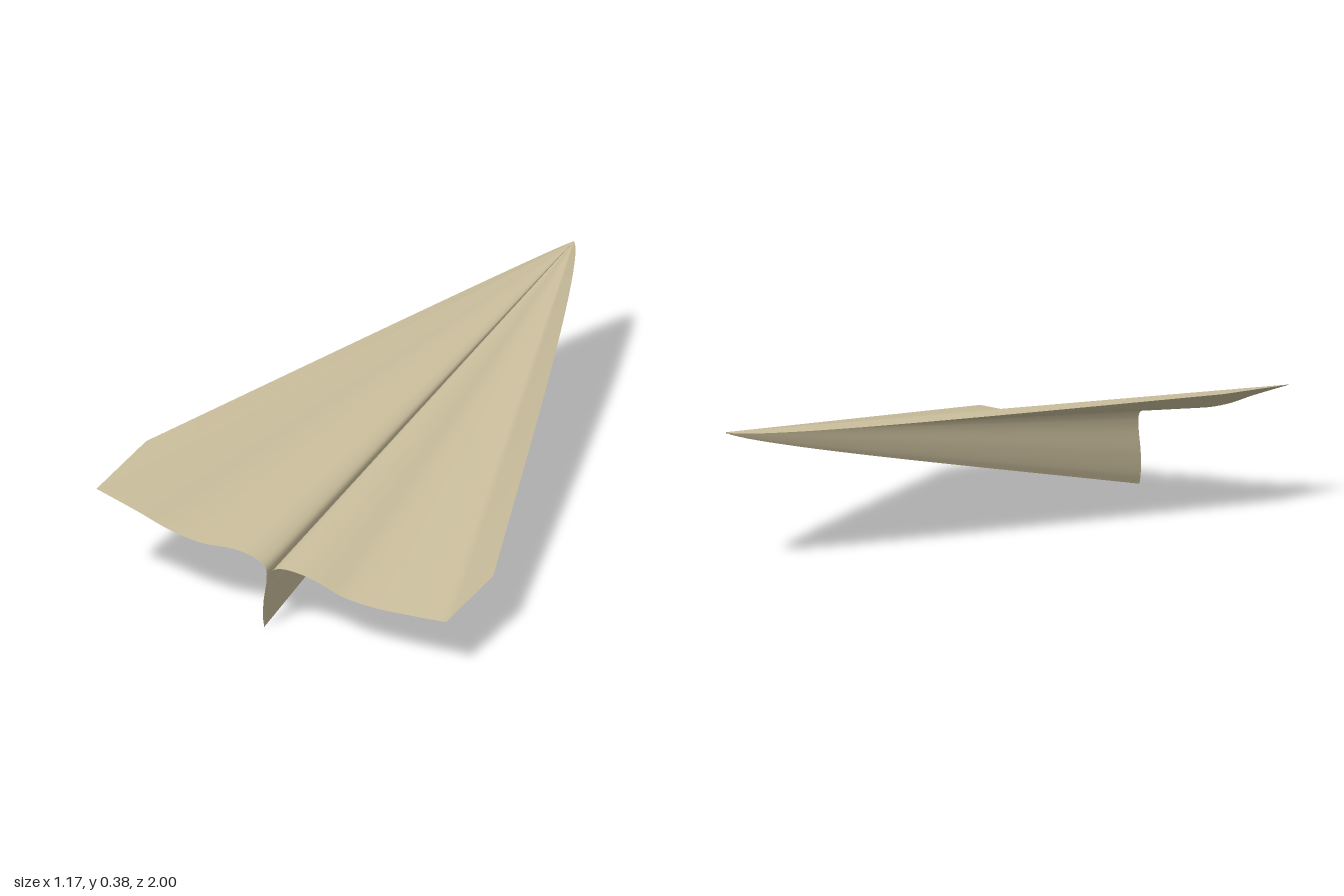
import * as THREE from 'three';

const NOSE = new THREE.Vector3(0.5, 0.385, -1);
const KEEL = [-0.072, 0, 0.81];
const KEEL_BOW = new THREE.Vector3(0, -0.016, 0);
const v = (p) => new THREE.Vector3(...p);

// Trailing edge of a half sheet: keel bottom, up the keel wall, over the fold, out to the tip,
// then straight forward along the clipped tip to the corner. Each entry is an end point plus
// the amount its ray from the nose bows.
function rearEdge(section, corner, cornerBow) {
  const curve = new THREE.CatmullRomCurve3(section.map(v), false, 'centripetal');
  const n = 64, ends = [];
  for (let i = 0; i <= n; i++) {
    const p = curve.getPoint(i / n);
    const low = Math.max(0, 1 - p.y / 0.17);
    ends.push({ p, bow: KEEL_BOW.clone().multiplyScalar(low) });
  }
  const tip = ends[n].p;
  for (let i = 1; i <= 6; i++) {
    ends.push({ p: tip.clone().lerp(v(corner), i / 6), bow: v(cornerBow).multiplyScalar(i / 6) });
  }
  return ends;
}

// Sheet of rays fanning from the nose to the rear edge
function foldedSheet(ends, rows = 28) {
  const pos = [], idx = [], cols = ends.length;
  for (let r = 0; r <= rows; r++) {
    const t = (r / rows) ** 1.3;
    const bulge = Math.sin(Math.PI * Math.sqrt(t));
    for (const { p, bow } of ends) {
      pos.push(...NOSE.clone().lerp(p, t).addScaledVector(bow, bulge).toArray());
    }
  }
  for (let r = 0; r < rows; r++) {
    for (let c = 0; c < cols - 1; c++) {
      const a = r * cols + c, b = a + cols;
      if (r > 0) idx.push(a, b, a + 1);
      idx.push(a + 1, b, b + 1);
    }
  }
  const geo = new THREE.BufferGeometry();
  geo.setAttribute('position', new THREE.Float32BufferAttribute(pos, 3));
  geo.setIndex(idx);
  geo.computeVertexNormals();
  return geo;
}

export function createModel() {
  const group = new THREE.Group();
  group.name = 'paperPlane';
  const paper = new THREE.MeshStandardMaterial({ color: 0xc9bd9b, side: THREE.DoubleSide });

  // Wing and keel wall on the -x side, curling up to the tip
  const rightEnds = rearEdge([
    KEEL, [-0.075, 0.03, 0.812], [-0.072, 0.09, 0.82], [-0.061, 0.17, 0.83], [-0.065, 0.205, 0.829],
    [-0.1, 0.23, 0.82], [-0.16, 0.243, 0.804], [-0.27, 0.24, 0.775], [-0.37, 0.261, 0.748],
    [-0.46, 0.295, 0.724], [-0.59, 0.34, 0.69],
  ], [-0.5, 0.35, 0.39], [-0.022, -0.012, -0.01]);

  // Wing and keel wall on the +x side, sagging to the tip
  const leftEnds = rearEdge([
    KEEL, [-0.066, 0.05, 0.816], [-0.058, 0.12, 0.826], [-0.053, 0.17, 0.833], [-0.043, 0.2, 0.837],
    [-0.018, 0.213, 0.845], [0.04, 0.212, 0.862], [0.1, 0.198, 0.88], [0.18, 0.17, 0.904],
    [0.28, 0.16, 0.934], [0.4, 0.164, 0.97], [0.5, 0.17, 1],
  ], [0.585, 0.18, 0.71], [0.022, -0.012, 0]);

  // Columns run towards +x on both halves so the upper face is the front
  const halves = { rightWingAndKeel: rightEnds.reverse(), leftWingAndKeel: leftEnds };
  for (const [name, ends] of Object.entries(halves)) {
    const mesh = new THREE.Mesh(foldedSheet(ends), paper);
    mesh.name = name;
    group.add(mesh);
  }
  return group;
}
